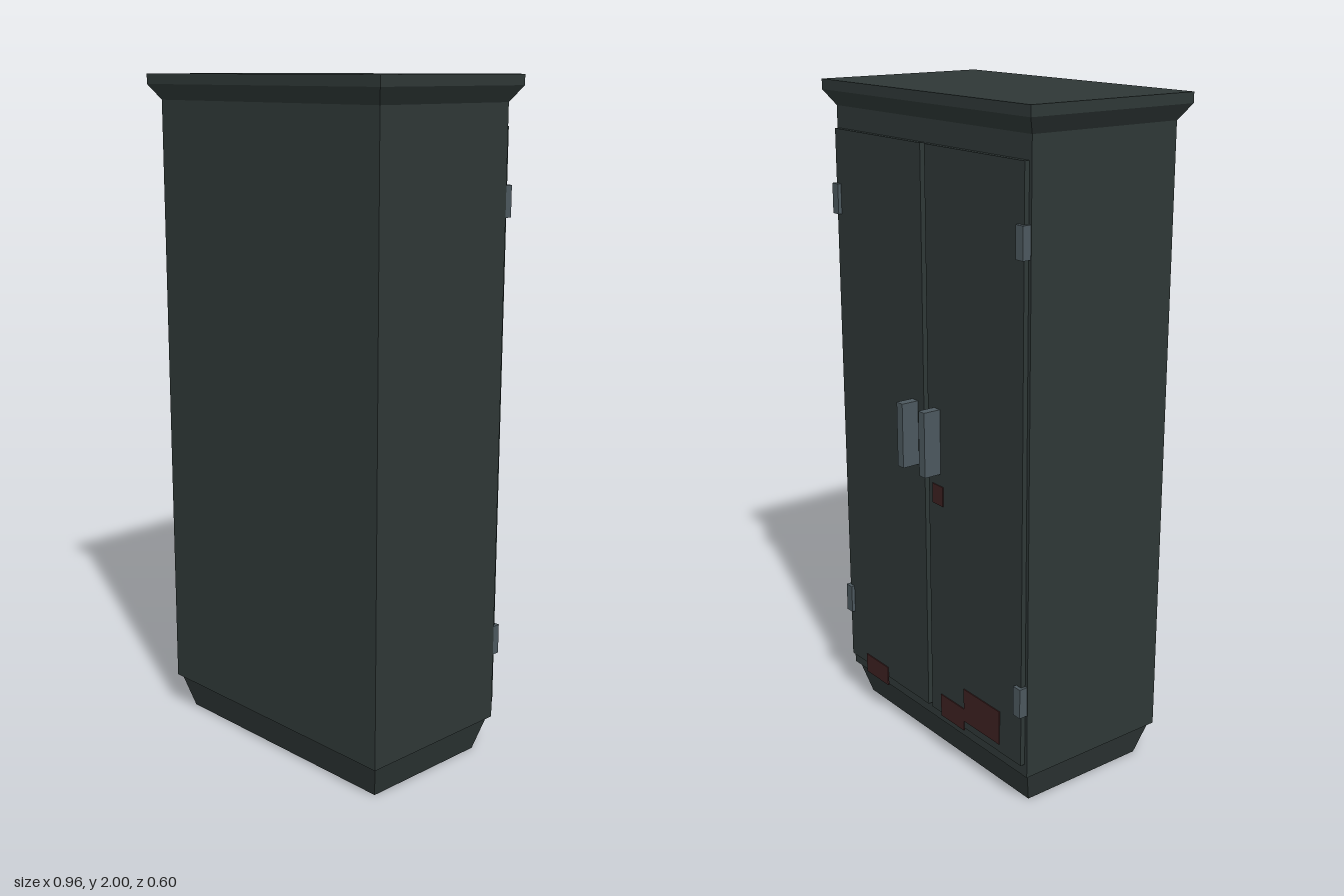
import * as THREE from 'three';

// Stack of rectangular rings [y, halfWidth, halfDepth], optionally closed on top
function rectLoft(rings, capTop) {
  const pos = [];
  const corners = ([y, w, d]) => [[-w, y, d], [w, y, d], [w, y, -d], [-w, y, -d]];
  const quad = (a, b, c, d) => pos.push(...a, ...b, ...c, ...a, ...c, ...d);
  for (let i = 0; i < rings.length - 1; i++) {
    const lo = corners(rings[i]), hi = corners(rings[i + 1]);
    for (let k = 0; k < 4; k++) {
      const n = (k + 1) % 4;
      quad(lo[k], lo[n], hi[n], hi[k]);
    }
  }
  if (capTop) quad(...corners(rings[rings.length - 1]));
  const geo = new THREE.BufferGeometry();
  geo.setAttribute('position', new THREE.Float32BufferAttribute(pos, 3));
  geo.computeVertexNormals();
  return geo;
}

export function createModel() {
  const group = new THREE.Group();
  const material = (name, color, side = THREE.FrontSide) => {
    const m = new THREE.MeshStandardMaterial({ color, side });
    m.name = name;
    return m;
  };
  const paint = material('darkPaint', 0x2e3736, THREE.DoubleSide);
  const steel = material('steel', 0x4c585e);
  const rust = material('rust', 0x3c2020);

  const add = (name, geo, mat) => {
    const mesh = new THREE.Mesh(geo, mat);
    mesh.name = name;
    group.add(mesh);
    return mesh;
  };
  // Box given by its lower and upper limits on each axis
  const box = (name, mat, [x0, x1], [y0, y1], [z0, z1]) =>
    add(name, new THREE.BoxGeometry(x1 - x0, y1 - y0, z1 - z0), mat)
      .position.set((x0 + x1) / 2, (y0 + y1) / 2, (z0 + z1) / 2);

  // Hollow carcass, open underneath, with tapered plinth and flared cornice
  const shell = (name, rings, cap) => {
    add(name, rectLoft(rings, cap), paint).position.z = 0.02;
  };
  shell('plinth', [[0, 0.41, 0.21], [0.105, 0.44, 0.24], [0.105, 0.45, 0.25]], false);
  shell('cabinetBody', [[0.105, 0.45, 0.25], [1.925, 0.45, 0.25]], false);
  shell('cornice', [[1.925, 0.45, 0.25], [1.97, 0.48, 0.28], [2, 0.48, 0.28]], true);

  // Mirrored doors with handles and hinges
  for (const s of [1, -1]) {
    const side = s > 0 ? 'left' : 'right';
    const span = (a, b) => (s > 0 ? [a, b] : [-b, -a]);
    box(side + 'Door', paint, span(0.01, 0.44), [0.145, 1.86], [-0.245, -0.228]);
    box(side + 'Handle', steel, span(0.04, 0.068), [0.925, 1.12], [-0.3, -0.245]);
    for (const y of [0.35, 1.655]) {
      box(side + 'Hinge', steel, span(0.418, 0.448), [y - 0.045, y + 0.045], [-0.256, -0.23]);
    }
  }

  // Rust patches on the doors
  const patches = [
    [[0.23, 0.352], [0.115, 0.178]],
    [[-0.175, -0.06], [0.138, 0.21]],
    [[-0.344, -0.175], [0.17, 0.277]],
    [[-0.08, -0.03], [0.828, 0.888]],
  ];
  for (const [xs, ys] of patches) box('rustPatch', rust, xs, ys, [-0.248, -0.244]);

  return group;
}
